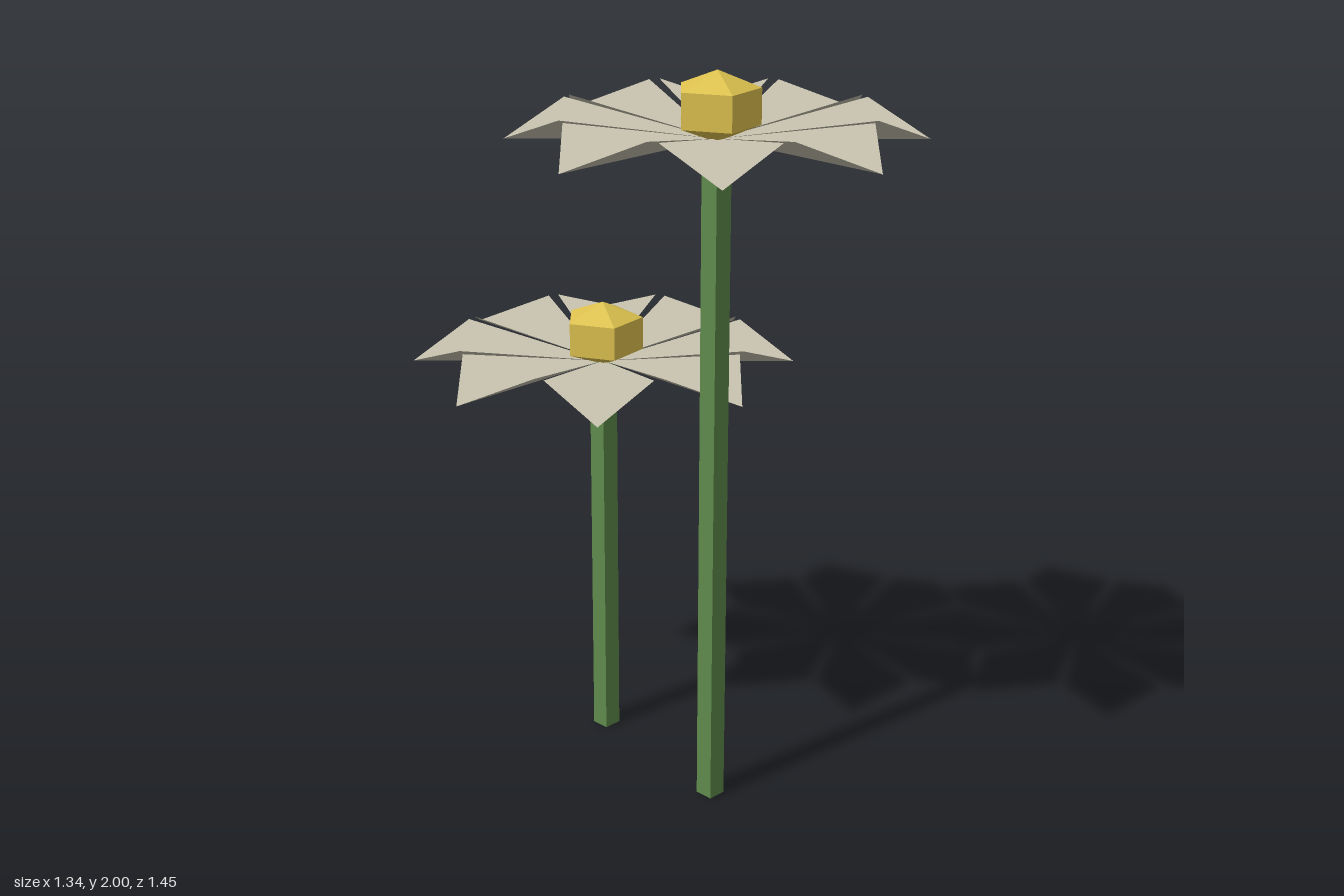
import * as THREE from 'three';

const stemGreen = new THREE.MeshStandardMaterial({ color: 0x5f8a4c });
stemGreen.name = 'stem green';
const petalCream = new THREE.MeshStandardMaterial({ color: 0xc9c4b0, side: THREE.DoubleSide });
petalCream.name = 'petal cream';
const centreYellow = new THREE.MeshStandardMaterial({ color: 0xdcc04e });
centreYellow.name = 'centre yellow';

const PETALS = 8;

function part(name, geometry, material) {
  const mesh = new THREE.Mesh(geometry, material);
  mesh.name = name;
  return mesh;
}

function faceted(geometry) {
  const flat = geometry.toNonIndexed();
  flat.computeVertexNormals();
  return flat;
}

// Kite-shaped petal pointing along +x, folded down its middle with raised sides
function petalGeometry() {
  const g = new THREE.BufferGeometry();
  g.setAttribute('position', new THREE.Float32BufferAttribute([
    0, 0, 0,
    0.38, 0.075, 0.142,
    0.523, 0, 0,
    0.38, 0.075, -0.142,
  ], 3));
  // Upright normals keep the two halves evenly shaded
  g.setAttribute('normal', new THREE.Float32BufferAttribute([0, 1, 0, 0, 1, 0, 0, 1, 0, 0, 1, 0], 3));
  g.setIndex([0, 1, 2, 0, 2, 3]);
  return g;
}

// Five-sided bud with shallow points above and below
function centreGeometry() {
  const profile = [[0, -0.008], [0.109, 0.035], [0.109, 0.126], [0, 0.17]]
    .map(([r, y]) => new THREE.Vector2(r, y));
  return faceted(new THREE.LatheGeometry(profile, 5).rotateY(Math.PI / 2));
}

function flower(name, height, x, z) {
  const group = new THREE.Group();
  group.name = name;
  group.position.set(x, 0, z);

  // Square stem set cornerwise
  const stem = faceted(new THREE.CylinderGeometry(0.037, 0.037, height, 4));
  group.add(part('stem', stem.translate(0, height / 2, 0), stemGreen));

  // Blossom
  const blossom = new THREE.Group();
  blossom.name = 'blossom';
  blossom.position.y = height;
  const petal = petalGeometry();
  for (let i = 0; i < PETALS; i++) {
    const mesh = part('petal', petal, petalCream);
    mesh.rotation.y = (i / PETALS) * Math.PI * 2;
    blossom.add(mesh);
  }
  blossom.add(part('flowerCentre', centreGeometry(), centreYellow));
  group.add(blossom);
  return group;
}

export function createModel() {
  const model = new THREE.Group();
  model.name = 'flowers';
  model.add(flower('tallFlower', 1.83, 0.148, 0.2));
  model.add(flower('shortFlower', 1.12, -0.148, -0.2));
  return model;
}
